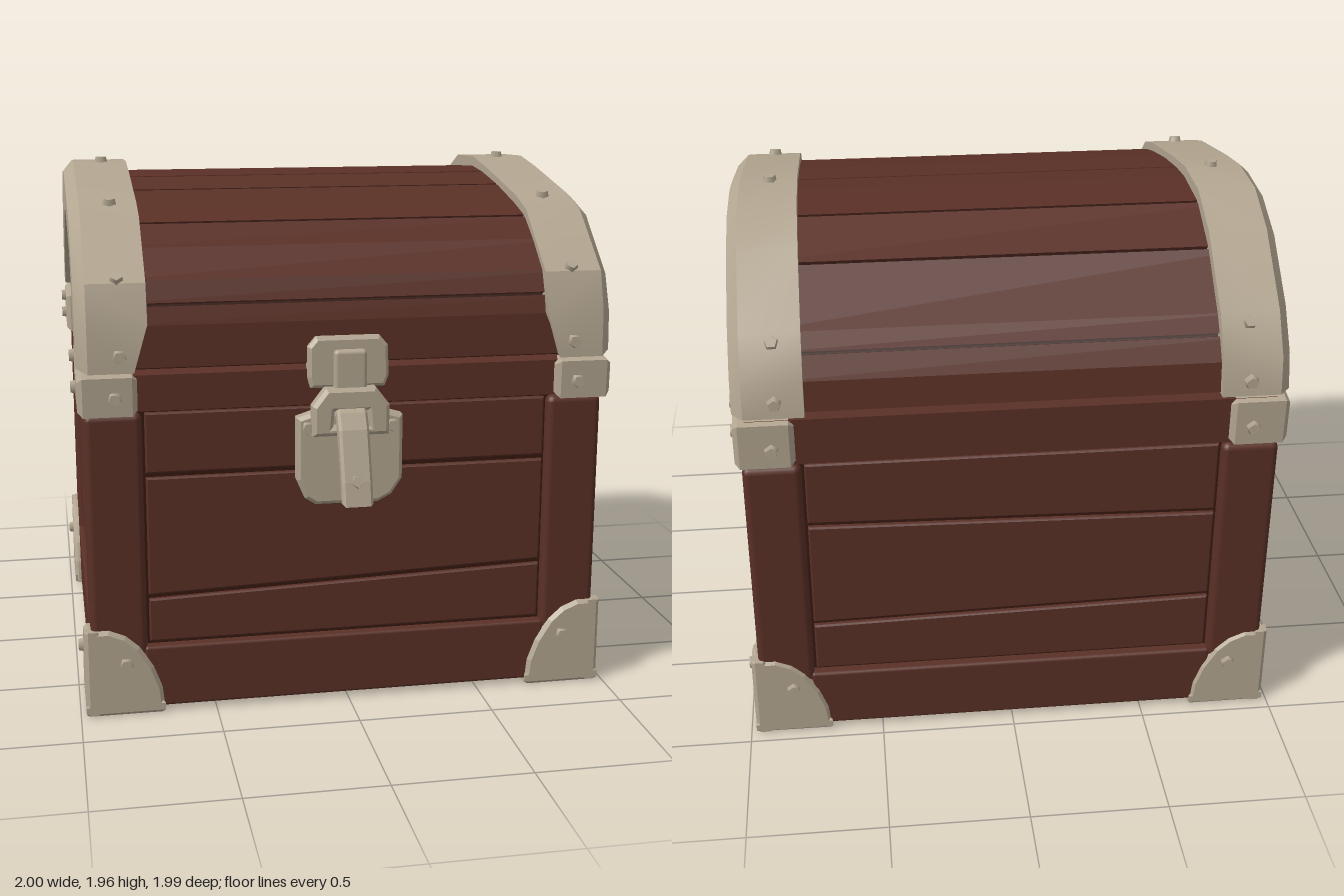
import * as THREE from 'three';
import { toCreasedNormals } from 'three/addons/utils/BufferGeometryUtils.js';
import { RoundedBoxGeometry } from 'three/addons/geometries/RoundedBoxGeometry.js';

const material = (name, color) => {
  const m = new THREE.MeshStandardMaterial({ color });
  m.name = name;
  return m;
};

export function createModel() {
  const chest = new THREE.Group();
  chest.name = 'treasureChest';
  const wood = material('brown wood', 0x5a3026);
  const gap = material('dark gap', 0x36190f);
  const metal = material('pale metal', 0xb3a691);

  const add = (name, geometry, mat) => {
    const mesh = new THREE.Mesh(geometry, mat);
    mesh.name = name;
    chest.add(mesh);
    return mesh;
  };
  const box = (name, mat, x0, x1, y0, y1, z0, z1, r = 0) => {
    const size = [x1 - x0, y1 - y0, z1 - z0];
    const g = r ? new RoundedBoxGeometry(...size, 2, r) : new THREE.BoxGeometry(...size);
    return add(name, g.translate((x0 + x1) / 2, (y0 + y1) / 2, (z0 + z1) / 2), mat);
  };

  // Extrudes an outline from d0 to d1 along a direction.
  // Points are (x,y) for +z/-z, (z,y) for +x/-x and (x,z) for -y.
  const plate = (name, mat, dir, pts, d0, d1, b = 0, hole = null) => {
    const flip = dir === '-z' || dir === '+x' ? -1 : 1;
    const v = list => list.map(([a, c]) => new THREE.Vector2(a * flip, c));
    const shape = new THREE.Shape(v(pts));
    if (hole) shape.holes.push(new THREE.Path(v(hole)));
    const g = new THREE.ExtrudeGeometry(shape, {
      depth: d1 - d0 - 2 * b, bevelEnabled: b > 0, bevelThickness: b,
      bevelSize: b, bevelOffset: -b, bevelSegments: 1,
    });
    g.translate(0, 0, d0 + b);
    if (dir === '-y') g.rotateX(Math.PI / 2);
    else g.rotateY({ '+z': 0, '-z': Math.PI, '+x': Math.PI / 2, '-x': -Math.PI / 2 }[dir]);
    return add(name, g, mat);
  };
  const rivet = (x, y, z, nx, ny, nz, mat = metal) => {
    const m = add('rivet', new THREE.CylinderGeometry(0.022, 0.03, 0.036, 5), mat);
    m.position.set(x, y, z);
    m.quaternion.setFromUnitVectors(new THREE.Vector3(0, 1, 0), new THREE.Vector3(nx, ny, nz).normalize());
  };

  // Body core, posts and rails
  const FRONT = 0.79, BACK = -0.945, HALF = 0.955;
  box('bodyCore', gap, -0.915, 0.915, 0.06, 1.16, BACK + 0.04, FRONT - 0.04);
  for (const s of [-1, 1]) {
    const x0 = s < 0 ? -HALF : 0.75, x1 = s < 0 ? -0.75 : HALF;
    box('frontPost', wood, x0, x1, 0.02, 1.135, 0.52, FRONT, 0.025);
    box('backPost', wood, x0, x1, 0.02, 1.155, BACK, -0.69, 0.025);
    box('sideRail', wood, s < 0 ? -HALF : 0.8, s < 0 ? -0.8 : HALF, 0.02, 0.255, -0.7, 0.53, 0.012);
  }
  box('frontRail', wood, -0.76, 0.76, 0.02, 0.255, 0.6, FRONT, 0.012);
  box('backRail', wood, -0.76, 0.76, 0.02, 0.255, BACK, -0.76, 0.012);

  // Wall planks: [direction, start, end, distance, seam heights at start and end]
  const walls = [
    ['+z', -0.74, 0.74, FRONT, [[0.26, 0.26], [0.44, 0.49], [0.9, 0.9], [1.14, 1.14]]],
    ['-z', -0.74, 0.74, -BACK, [[0.26, 0.26], [0.5, 0.47], [0.87, 0.9], [1.16, 1.16]]],
    ['+x', -0.68, 0.51, HALF, [[0.26, 0.26], [0.47, 0.465], [0.865, 0.73], [1.16, 1.14]]],
    ['-x', -0.68, 0.51, HALF, [[0.26, 0.26], [0.47, 0.465], [0.865, 0.73], [1.16, 1.14]]],
  ];
  for (const [dir, a, b, d, seams] of walls) {
    for (let i = 0; i < seams.length - 1; i++) {
      const [l, r] = seams[i], [L, R] = seams[i + 1], e = 0.009;
      plate('wallPlank', wood, dir, [[a, l + e], [b, r + e], [b, R - e], [a, L - e]], d - 0.06, d - 0.02, 0.006);
    }
  }

  // Floor planks
  for (let i = 0; i < 8; i++) {
    const z = -0.76 + i * 0.17;
    box('floorPlank', wood, -0.8, 0.8, 0.035, 0.08, z + 0.008, z + 0.162);
  }

  // Lid belt and its metal corners
  plate('lidBelt', wood, '+x', [[0.795, 1.145], [0.795, 1.275], [0.62, 1.345], [-0.945, 1.345], [-0.945, 1.17]], -0.945, 0.945, 0.012);
  for (const s of [-1, 1]) {
    const dir = s < 0 ? '-x' : '+x';
    plate('frontBeltCorner', metal, dir, [[0.825, 1.135], [0.83, 1.275], [0.72, 1.295], [0.62, 1.35], [0.51, 1.355], [0.51, 1.145]], 0.765, 0.975, 0.018);
    plate('backBeltCorner', metal, dir, [[-0.965, 1.17], [-0.97, 1.34], [-0.86, 1.36], [-0.72, 1.36], [-0.69, 1.32], [-0.69, 1.16]], 0.765, 0.975, 0.018);
    rivet(s * 0.845, 1.2, 0.83, 0, 0, 1);
    rivet(s * 0.845, 1.24, -0.97, 0, 0, -1);
    for (const [z, y] of [[0.635, 1.21], [0.585, 1.315], [-0.74, 1.32], [-0.8, 1.235]]) rivet(s * 0.975, y, z, s, 0, 0);
  }

  // Lid planks over a dark core; cuts are indices into the profile
  const lid = [[0.8, 1.295], [0.795, 1.45], [0.775, 1.52], [0.74, 1.6], [0.62, 1.7], [0.51, 1.775], [0.38, 1.81],
    [0.15, 1.86], [-0.06, 1.893], [-0.2, 1.905], [-0.43, 1.89], [-0.63, 1.79], [-0.82, 1.62],
    [-0.87, 1.56], [-0.925, 1.48], [-0.94, 1.365]];
  const inset = ([z, y], d) => {
    const dz = -0.08 - z, dy = 1.2 - y, l = Math.hypot(dz, dy);
    return [z + dz / l * d, y + dy / l * d];
  };
  const toward = (p, q, d) => {
    const l = Math.hypot(q[0] - p[0], q[1] - p[1]);
    return [p[0] + (q[0] - p[0]) / l * d, p[1] + (q[1] - p[1]) / l * d];
  };
  plate('lidCore', gap, '+x', lid.map(p => inset(p, 0.025)), -0.9, 0.9);
  const cuts = [0, 2, 5, 7, 8, 10, 11, 13, 15];
  for (let i = 0; i < cuts.length - 1; i++) {
    const run = lid.slice(cuts[i], cuts[i + 1] + 1), n = run.length;
    const first = toward(run[0], run[1], 0.006), last = toward(run[n - 1], run[n - 2], 0.006);
    const outer = [first, ...run.slice(1, -1), last];
    plate('lidPlank', wood, '+x', [...outer, ...outer.map(p => inset(p, 0.05)).reverse()], -0.915, 0.915);
  }
  for (const dir of ['+x', '-x']) {
    plate('lidEndLower', wood, dir, [[0.72, 1.36], [0.7, 1.56], [-0.82, 1.56], [-0.88, 1.36]], 0.88, 0.935, 0.006);
    plate('lidEndUpper', wood, dir, [[0.68, 1.578], [0.45, 1.74], [0.2, 1.81], [-0.15, 1.85], [-0.4, 1.83], [-0.6, 1.74], [-0.78, 1.578]], 0.88, 0.935, 0.006);
  }

  // Metal arches: outer edge and inner edge (z, y) at each station
  const outerEdge = [[0.83, 1.29], [0.825, 1.46], [0.78, 1.6], [0.53, 1.8], [0.4, 1.84], [0, 1.915], [-0.2, 1.945],
    [-0.43, 1.935], [-0.62, 1.85], [-0.86, 1.64], [-0.95, 1.5], [-0.968, 1.365]];
  const innerEdge = [[0.62, 1.36], [0.6, 1.4], [0.52, 1.5], [0.38, 1.66], [0.26, 1.69], [-0.02, 1.755], [-0.12, 1.77],
    [-0.3, 1.73], [-0.46, 1.67], [-0.56, 1.59], [-0.68, 1.46], [-0.76, 1.37]];
  const arch = s => {
    const rings = outerEdge.map((o, i) => {
      const at = (x, t) => [s * x, o[1] + (innerEdge[i][1] - o[1]) * t, o[0] + (innerEdge[i][0] - o[0]) * t];
      const x = i === 0 ? 0.775 : 0.725;
      return [at(x, 0.4), at(x, 0), at(0.935, 0), at(0.975, 0.22), at(0.975, 1), at(0.9, 1)];
    });
    const out = [];
    const tri = (a, b, c) => out.push(...a, ...(s > 0 ? b : c), ...(s > 0 ? c : b));
    for (let i = 0; i < rings.length - 1; i++) {
      const p = rings[i], q = rings[i + 1];
      for (let j = 0; j < 6; j++) {
        const k = (j + 1) % 6;
        tri(p[j], p[k], q[k]);
        tri(p[j], q[k], q[j]);
      }
    }
    const a = rings[0], z = rings[rings.length - 1];
    for (let j = 1; j < 5; j++) {
      tri(a[0], a[j + 1], a[j]);
      tri(z[0], z[j], z[j + 1]);
    }
    const g = new THREE.BufferGeometry();
    g.setAttribute('position', new THREE.Float32BufferAttribute(out, 3));
    return toCreasedNormals(g, 0.5);
  };
  for (const s of [-1, 1]) {
    add('lidArch', arch(s), metal);
    for (const [z, y, nz, ny] of [[0.83, 1.35, 1, 0], [0.765, 1.615, 0.7, 0.7], [0.41, 1.84, 0.25, 1],
      [-0.2, 1.945, 0, 1], [-0.88, 1.61, -0.8, 0.6], [-0.965, 1.42, -1, 0]]) rivet(s * 0.825, y, z, 0, ny, nz);
  }

  // Bottom corner guards: a = distance from the corner
  const curve = [[0, 0.005], [0.29, 0.005], [0.28, 0.1], [0.25, 0.18], [0.2, 0.26], [0.15, 0.305], [0.09, 0.33], [0, 0.33]];
  for (const sx of [-1, 1]) for (const sz of [-1, 1]) {
    const X = a => sx * (0.98 - a), Z = a => -0.075 + sz * (0.88 - a);
    const zd = sz > 0 ? 0.805 : 0.955;
    plate('cornerGuardFace', metal, sz > 0 ? '+z' : '-z', curve.map(([a, y]) => [X(a), y]), zd - 0.06, zd, 0.014);
    plate('cornerGuardSide', metal, sx > 0 ? '+x' : '-x', curve.map(([a, y]) => [Z(a * 1.12), y]), 0.92, 0.98, 0.014);
    plate('cornerGuardBase', metal, '-y', [[0, 0], [0.29, 0], [0.25, 0.27], [0, 0.32]].map(([a, b]) => [X(a), Z(b)]), -0.05, 0, 0.012);
    rivet(sx * 0.83, 0.2, sz * zd, 0, 0, sz);
    rivet(sx * 0.98, 0.22, sz > 0 ? 0.63 : -0.8, sx, 0, 0);
  }

  // Latch
  plate('hingePlate', metal, '+z', [[-0.15, 1.21], [0.12, 1.21], [0.135, 1.25], [0.13, 1.36], [0.1, 1.395], [-0.13, 1.395], [-0.16, 1.36], [-0.16, 1.25]], 0.77, 0.83, 0.012);
  box('haspTab', metal, -0.07, 0.05, 1.19, 1.35, 0.8, 0.855, 0.015);
  plate('lockPlate', metal, '+z', [[-0.2, 1.1], [-0.14, 1.12], [0.12, 1.12], [0.19, 1.1], [0.19, 0.86], [0.15, 0.8], [0.1, 0.775], [-0.13, 0.775], [-0.17, 0.8], [-0.2, 0.87]], 0.76, 0.825, 0.014);
  for (const x of [-0.16, 0.15]) rivet(x, 1.065, 0.825, 0, 0, 1);
  plate('haspLoop', metal, '+z', [[-0.15, 1.04], [0.13, 1.04], [0.13, 1.15], [0.08, 1.215], [-0.1, 1.215], [-0.15, 1.15]], 0.8, 0.87, 0.014,
    [[-0.075, 1.075], [0.055, 1.075], [0.05, 1.13], [-0.07, 1.13]]);
  plate('lever', metal, '+x', [[0.83, 1.13], [0.855, 1.15], [0.885, 1.13], [0.92, 1.075], [0.98, 0.9], [1.0, 0.815], [0.955, 0.81], [0.905, 0.97], [0.86, 1.06]], -0.065, 0.045, 0.01);
  rivet(-0.01, 0.9, 0.973, 0, 0.3, 1);
  return chest;
}
